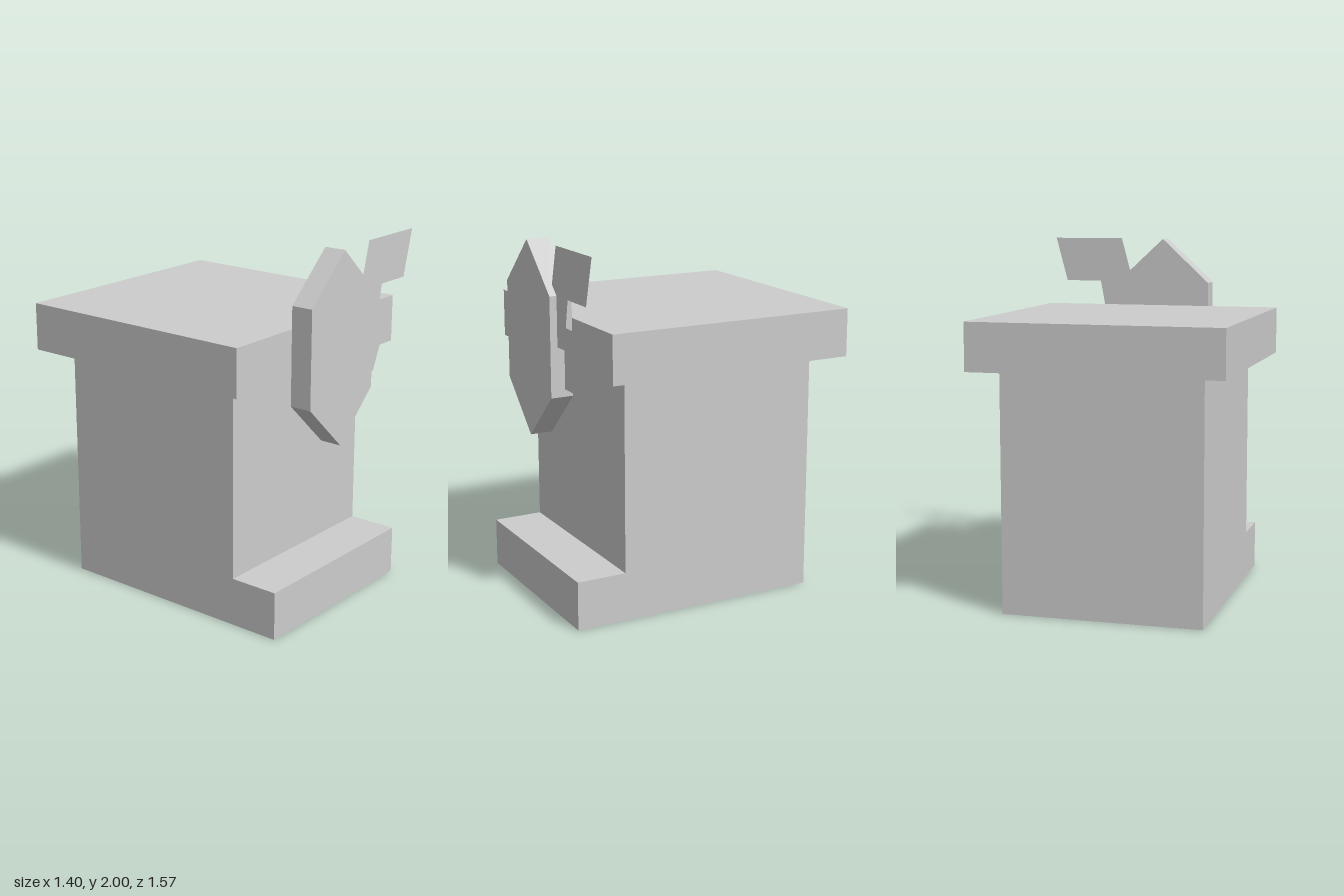
import * as THREE from 'three';

const toShape = (points) => new THREE.Shape(points.map(([x, y]) => new THREE.Vector2(x, y)));

export function createModel() {
  const model = new THREE.Group();
  const grey = new THREE.MeshStandardMaterial({ color: 0xcccccc });
  grey.name = 'light grey';
  const thinGrey = new THREE.MeshStandardMaterial({ color: 0xcccccc, side: THREE.DoubleSide });
  thinGrey.name = 'light grey sheet';

  function add(name, geometry, material = grey) {
    const mesh = new THREE.Mesh(geometry, material);
    mesh.name = name;
    model.add(mesh);
    return mesh;
  }

  // Pedestal with a front step: an L-shaped side profile (z, y) swept across x
  const profile = toShape([
    [-0.64, 0], [0.78, 0], [0.78, 0.27], [0.5, 0.27], [0.5, 1.34], [-0.64, 1.34],
  ]);
  const pedestal = new THREE.ExtrudeGeometry(profile, { depth: 1.12, bevelEnabled: false });
  pedestal.rotateY(-Math.PI / 2).translate(0.56, 0, 0);
  add('pedestal', pedestal);

  // Overhanging top slab
  add('topSlab', new THREE.BoxGeometry(1.4, 0.265, 1.42)).position.set(0, 1.4725, -0.075);

  // Pointed six-sided plaque floating in front
  const hexagon = toShape([
    [0, 0.935], [0.28, 1.2], [0.28, 1.74], [0, 2], [-0.28, 1.74], [-0.28, 1.2],
  ]);
  const plaque = new THREE.ExtrudeGeometry(hexagon, { depth: 0.125, bevelEnabled: false });
  add('plaque', plaque.translate(0, 0, 0.66));

  // Two flat ribbon tails, running into the plaque
  const upper = toShape([
    [0.14, 1.47], [0.365, 1.47], [0.415, 1.74], [0.63, 1.74], [0.7, 2], [0.28, 2],
  ]);
  add('upperTail', new THREE.ShapeGeometry(upper), thinGrey).position.z = 0.745;
  const lower = toShape([[0.14, 1.24], [0.415, 1.24], [0.56, 1.57], [0.14, 1.57]]);
  add('lowerTail', new THREE.ShapeGeometry(lower), thinGrey).position.z = 0.705;

  return model;
}
